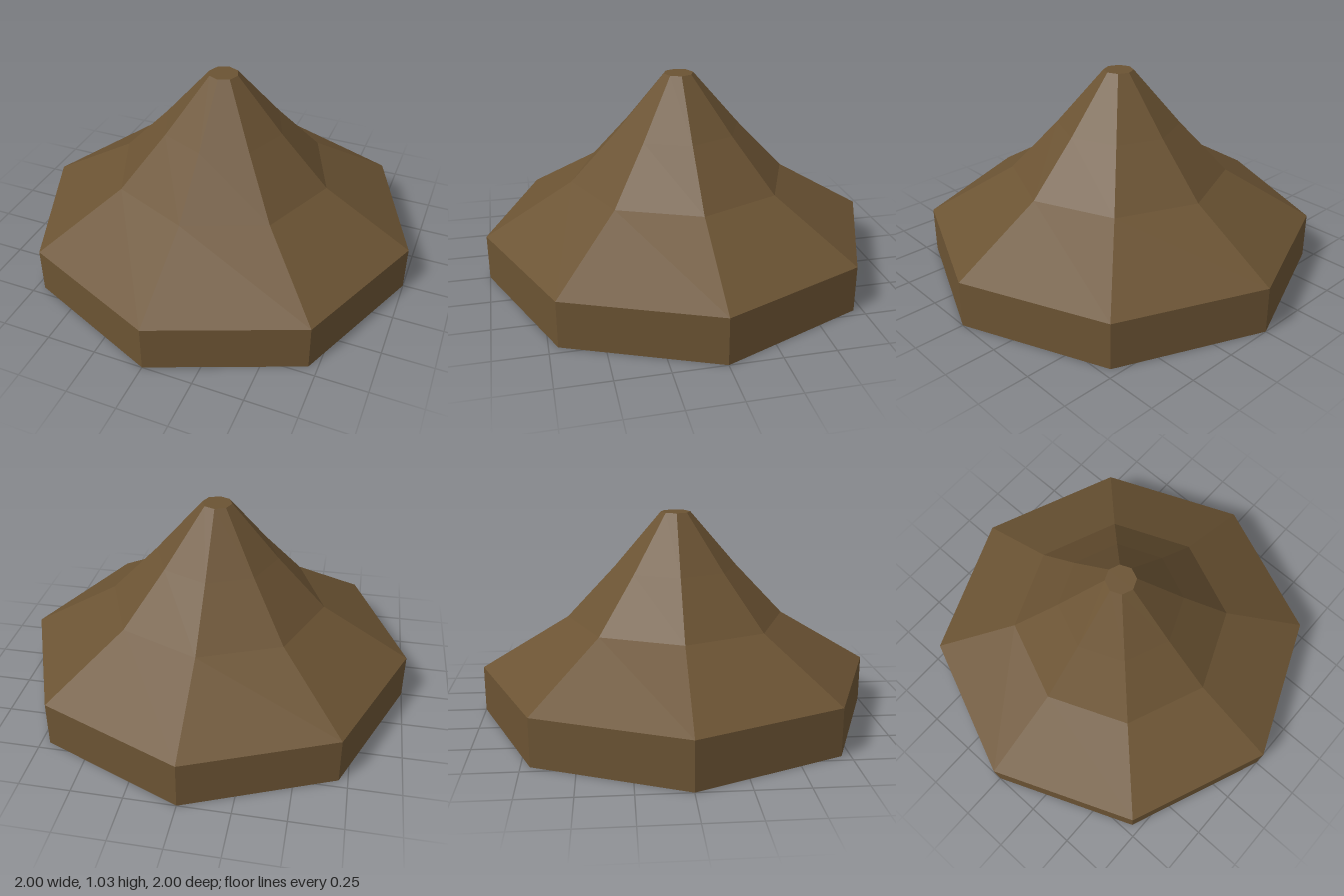
import * as THREE from 'three';

export function createModel() {
  const model = new THREE.Group();
  model.name = 'octagonalRoof';

  const brown = new THREE.MeshStandardMaterial({ color: 0x6b5333, flatShading: true, side: THREE.DoubleSide });
  brown.name = 'brown';

  // Eight-sided ring of panels following a profile, corners on the x and z axes
  const addRing = (name, profile) => {
    const points = profile.map(([r, y]) => new THREE.Vector2(r, y));
    const mesh = new THREE.Mesh(new THREE.LatheGeometry(points, 8), brown);
    mesh.name = name;
    model.add(mesh);
  };

  // Upright band around the open underside
  addRing('rim', [[1, 0], [1, 0.235]]);
  // Shallow skirt of the roof
  addRing('eaves', [[1, 0.235], [0.555, 0.5]]);
  // Steep, slightly concave upper roof
  addRing('spire', [[0.555, 0.5], [0.312, 0.758], [0.075, 1.035]]);

  // Small flat top
  const cap = new THREE.Mesh(new THREE.CircleGeometry(0.075, 8), brown);
  cap.rotation.x = -Math.PI / 2;
  cap.position.y = 1.035;
  cap.name = 'cap';
  model.add(cap);

  return model;
}
